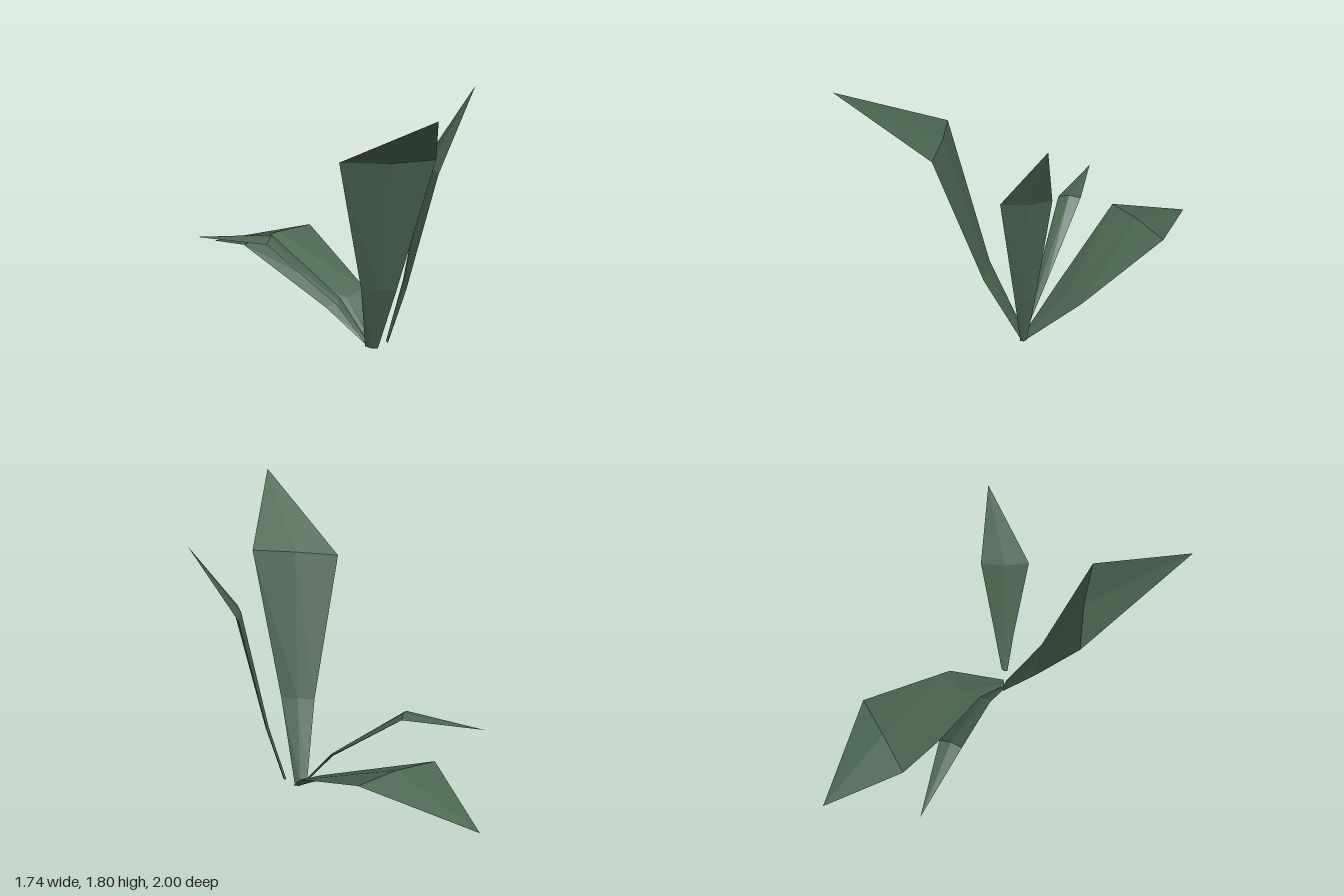
import * as THREE from 'three';

// Half thickness of the blade at its base, bend and shoulder
const THICKNESS = [0.008, 0.01, 0.02];

// A blade: three pairs of edge points (first, second side) ending in a tip
function bladeGeometry(pairs, tip, scale = 1) {
  const end = new THREE.Vector3(...tip);
  const edges = pairs.map(([a, b]) => [new THREE.Vector3(...a), new THREE.Vector3(...b)]);
  const mids = edges.map(([a, b]) => a.clone().add(b).multiplyScalar(0.5));

  // Diamond cross-sections: side, upper crease, side, lower crease
  const rings = edges.map(([a, b], i) => {
    const along = (mids[i + 1] || end).clone().sub(mids[Math.max(i - 1, 0)]);
    const up = a.clone().sub(b).cross(along).normalize().multiplyScalar(THICKNESS[i] * scale);
    return [a, mids[i].clone().add(up), b, mids[i].clone().sub(up)];
  });

  const points = [];
  const face = (...corners) => corners.forEach((p) => points.push(p.x, p.y, p.z));
  const [r0, , last] = rings;
  face(r0[0], r0[1], r0[2]);
  face(r0[0], r0[2], r0[3]);
  for (let k = 0; k < 4; k++) {
    const n = (k + 1) % 4;
    for (let i = 0; i < 2; i++) {
      const p = rings[i], q = rings[i + 1];
      face(p[k], q[k], q[n]);
      face(p[k], q[n], p[n]);
    }
    face(last[k], end, last[n]);
  }
  const geometry = new THREE.BufferGeometry();
  geometry.setAttribute('position', new THREE.Float32BufferAttribute(points, 3));
  geometry.computeVertexNormals();
  return geometry;
}

export function createModel() {
  const group = new THREE.Group();
  group.name = 'plant';
  const leafGreen = new THREE.MeshStandardMaterial({ color: 0x4b6650, flatShading: true });
  leafGreen.name = 'leafGreen';

  const leaves = [
    {
      name: 'frontTallLeaf',
      pairs: [
        [[0.22, 0.02, 0], [0.3, 0.01, 0.01]],
        [[0.185, 0.52, 0.215], [0.4, 0.52, 0.225]],
        [[0.05, 1.41, 0.465], [0.59, 1.43, 0.47]],
      ],
      tip: [0.55, 1.81, 1],
    },
    {
      name: 'leftUprightLeaf',
      pairs: [
        [[0.36, 0.05, 0.01], [0.36, 0.06, -0.03]],
        [[0.47, 0.43, 0.03], [0.455, 0.44, -0.09]],
        [[0.64, 1.21, 0.09], [0.59, 1.22, -0.195]],
      ],
      tip: [0.87, 1.68, -0.19],
    },
    {
      name: 'rightSmallLeaf',
      pairs: [
        [[0.235, 0.05, -0.02], [0.22, 0.04, 0]],
        [[0.06, 0.3, -0.13], [0.04, 0.28, -0.06]],
        [[-0.38, 0.66, -0.31], [-0.405, 0.65, -0.165]],
      ],
      tip: [-0.87, 0.63, -0.345],
      scale: 0.8,
    },
    {
      name: 'backBroadLeaf',
      pairs: [
        [[0.305, 0.01, -0.01], [0.24, 0.015, 0]],
        [[0.225, 0.26, -0.36], [-0.03, 0.205, -0.18]],
        [[-0.15, 0.52, -0.85], [-0.58, 0.505, -0.515]],
      ],
      tip: [-0.83, 0.335, -1],
    },
  ];

  for (const { name, pairs, tip, scale } of leaves) {
    const leaf = new THREE.Mesh(bladeGeometry(pairs, tip, scale), leafGreen);
    leaf.name = name;
    group.add(leaf);
  }
  return group;
}
